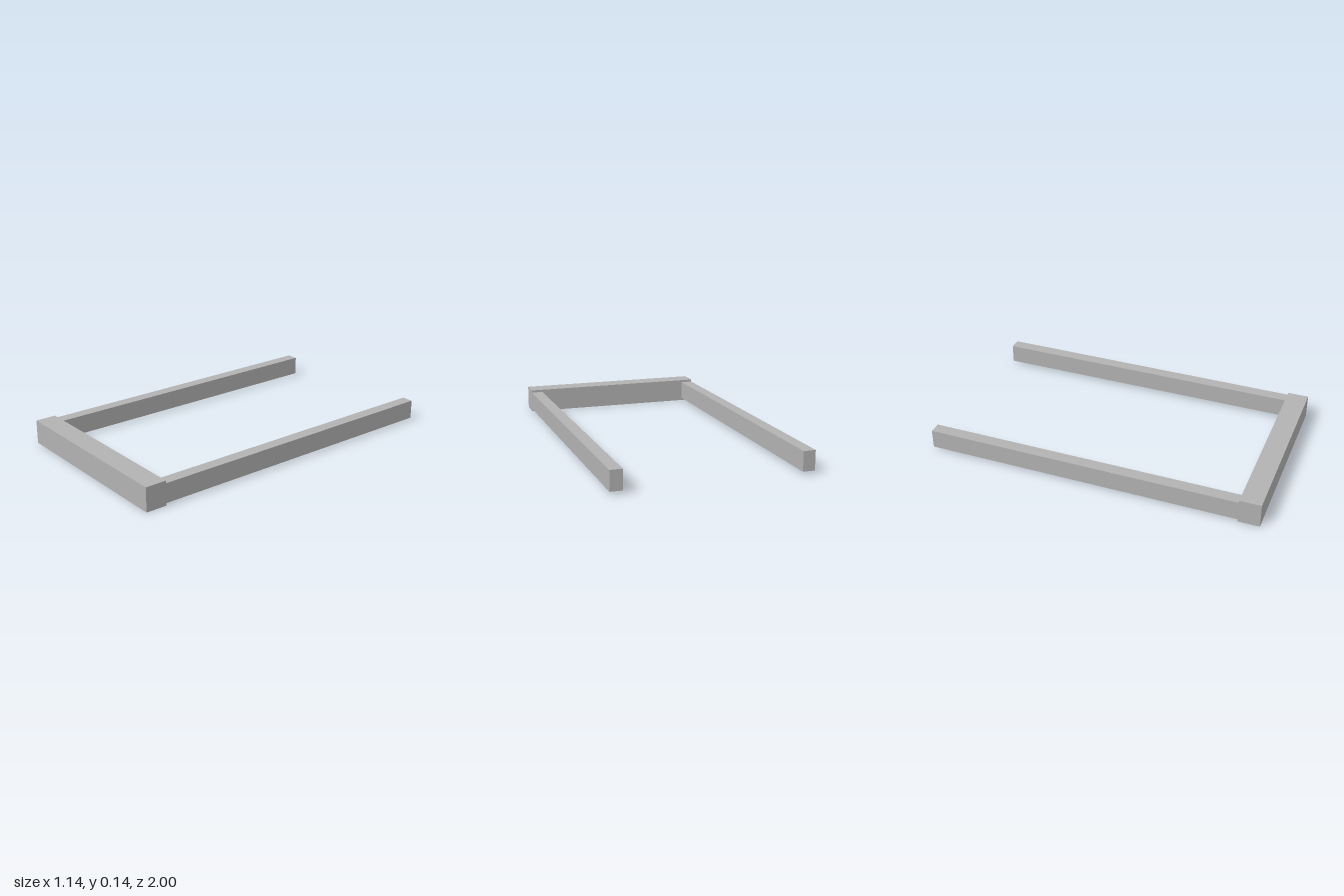
import * as THREE from 'three';

const HALF_WIDTH = 0.571, BAR_HEIGHT = 0.143, BAR_DEPTH = 0.125;
const ARM_WIDTH = 0.071, ARM_HEIGHT = 0.114;

export function createModel() {
  const group = new THREE.Group();
  group.name = 'uShapedFrame';
  const grey = new THREE.MeshStandardMaterial({ color: 0xb2b2b2 });
  grey.name = 'grey';

  function addBox(name, w, h, d, x, y, z) {
    const mesh = new THREE.Mesh(new THREE.BoxGeometry(w, h, d), grey);
    mesh.name = name;
    mesh.position.set(x, y, z);
    group.add(mesh);
  }

  // Crossbar along the front
  addBox('frontCrossbar', HALF_WIDTH * 2, BAR_HEIGHT, BAR_DEPTH, 0, BAR_HEIGHT / 2, 1 - BAR_DEPTH / 2);

  // Two slimmer arms running back, flush with the crossbar ends
  const armLength = 2 - BAR_DEPTH;
  for (const [name, side] of [['leftArm', 1], ['rightArm', -1]]) {
    addBox(name, ARM_WIDTH, ARM_HEIGHT, armLength,
      side * (HALF_WIDTH - ARM_WIDTH / 2), BAR_HEIGHT / 2, -1 + armLength / 2);
  }
  return group;
}
